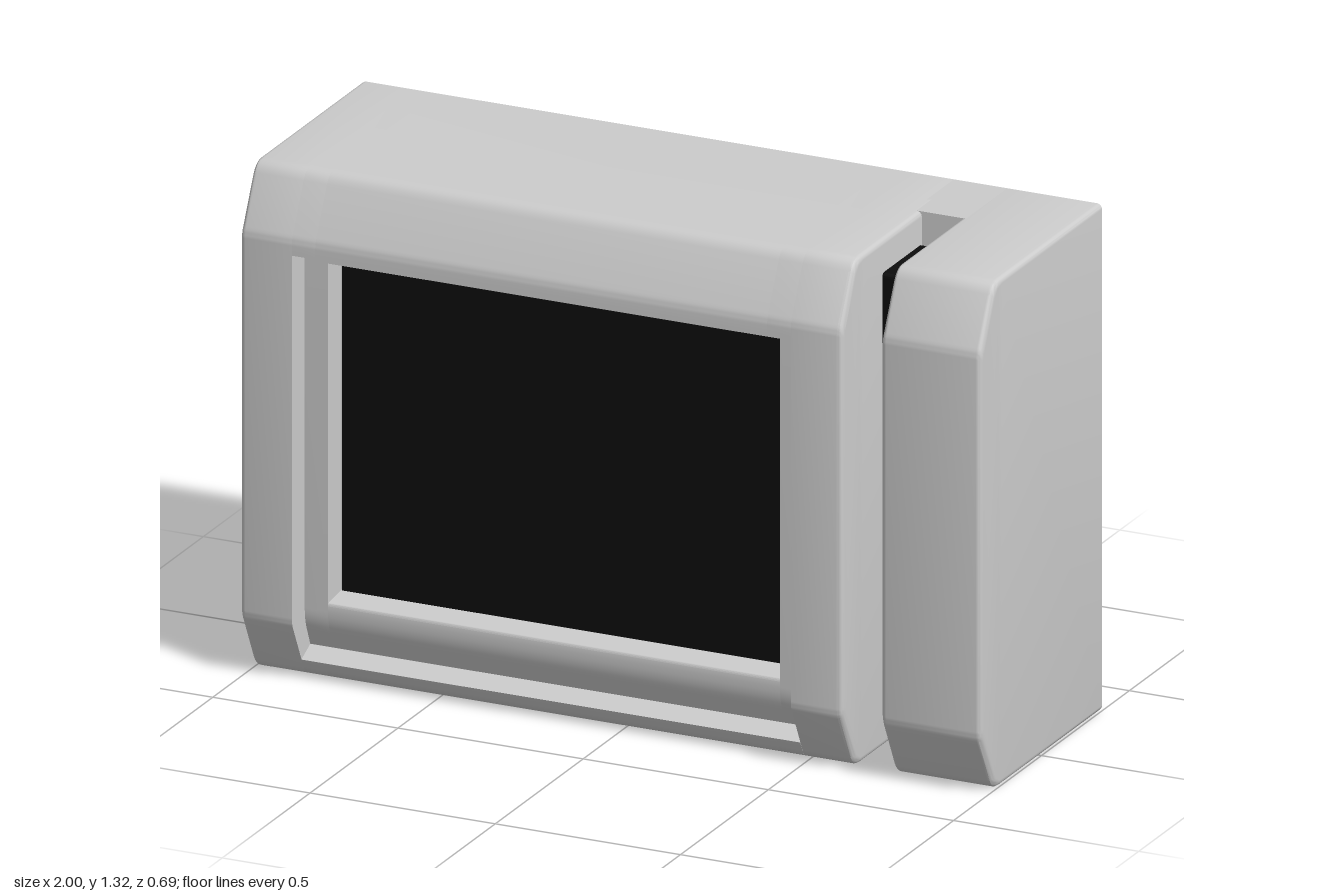
import * as THREE from 'three';
import { toCreasedNormals } from 'three/addons/utils/BufferGeometryUtils.js';

const H = 1.32, BACK = -0.345, FRONT = 0.345;
const grey = new THREE.MeshStandardMaterial({ color: 0xcccccc });
const black = new THREE.MeshStandardMaterial({ color: 0x0d0d0d });

// Turns [z, y, radius] corners into a contour with rounded corners
function contour(corners) {
  const points = [];
  corners.forEach(([z, y, r = 0], i) => {
    const p = new THREE.Vector2(z, y);
    if (!r) return points.push(p);
    const n = corners.length;
    const toward = (c) => new THREE.Vector2(c[0], c[1]).sub(p).normalize().multiplyScalar(r).add(p);
    const a = toward(corners[(i + n - 1) % n]), b = toward(corners[(i + 1) % n]);
    points.push(...new THREE.QuadraticBezierCurve(a, p, b).getPoints(4));
  });
  return points;
}

// Sweeps a side profile along x; each section is [x, inset], the back staying put
function sweep(corners, sections) {
  const profile = contour(corners), n = profile.length, pos = [];
  const rings = sections.map(([x, inset]) => profile.map((p) => [
    x,
    H / 2 + (p.y - H / 2) * (1 - inset / (H / 2)),
    BACK + (p.x - BACK) * (1 - inset / (FRONT - BACK)),
  ]));
  const tri = (a, b, c) => pos.push(...a, ...b, ...c);
  for (let s = 0; s < rings.length - 1; s++) {
    const lo = rings[s], hi = rings[s + 1];
    for (let i = 0; i < n; i++) {
      const j = (i + 1) % n;
      tri(lo[i], hi[i], lo[j]);
      tri(lo[j], hi[i], hi[j]);
    }
  }
  const first = rings[0], last = rings[rings.length - 1];
  for (const [a, b, c] of THREE.ShapeUtils.triangulateShape(profile, [])) {
    tri(first[a], first[b], first[c]);
    tri(last[a], last[c], last[b]);
  }
  const geometry = new THREE.BufferGeometry();
  geometry.setAttribute('position', new THREE.Float32BufferAttribute(pos, 3));
  return toCreasedNormals(geometry, 0.45);
}

// Sections of a rounded end at x, listed outward in direction dir
function roundedEnd(x, dir, r = 0.014) {
  return [0, 1, 2, 3, 4].map((k) => {
    const a = (k / 4) * Math.PI / 2;
    return [x - dir * r * (1 - Math.sin(a)), r * (1 - Math.cos(a))];
  });
}

export function createModel() {
  const model = new THREE.Group();
  const add = (name, geometry, material = grey, parent = model) => {
    const mesh = new THREE.Mesh(geometry, material);
    mesh.name = name;
    parent.add(mesh);
    return mesh;
  };

  // Side profiles: lower edge, optional front recess, then upper edge
  const lower = [[BACK, 0], [0.265, 0, 0.03]];
  const upper = [[FRONT, 1.16, 0.015], [0.265, H, 0.03], [BACK, H]];
  const full = [...lower, [FRONT, 0.16, 0.015], ...upper];
  const recess = (...inner) => [...lower, [0.291, 0.05], [0.24, 0.074], ...inner, [FRONT, 1.12], ...upper];
  const bezel = recess([0.272, 0.148, 0.03], [0.272, 1.12]);
  const opening = recess([0.272, 0.148, 0.03], [0.272, 0.2, 0.008], [0.195, 0.21],
    [0.195, 1.08], [0.272, 1.085], [0.272, 1.12]);

  // Main housing around the recessed screen
  const housing = new THREE.Group();
  housing.name = 'housing';
  model.add(housing);
  add('housingRightSide', sweep(full, [...roundedEnd(-1, -1).reverse(), [-0.86, 0]]), grey, housing);
  add('bezelRightSide', sweep(bezel, [[-0.86, 0], [-0.797, 0]]), grey, housing);
  add('bezelMiddle', sweep(opening, [[-0.797, 0], [0.423, 0]]), grey, housing);
  add('bezelLeftSide', sweep(bezel, [[0.423, 0], [0.487, 0]]), grey, housing);
  add('housingLeftSide', sweep(full, [[0.487, 0], ...roundedEnd(0.625, 1)]), grey, housing);

  // Screen at the bottom of the opening
  const screen = add('screen', new THREE.BoxGeometry(1.212, 0.87, 0.012), black);
  screen.position.set(-0.187, 0.645, 0.194);

  // Side block beyond the swipe slot, and the wall behind the slot
  add('sideBlock', sweep(full, [...roundedEnd(0.73, -1).reverse(), ...roundedEnd(1, 1)]));
  add('slotBack', sweep([[BACK, 0], [-0.11, 0], [-0.11, H], [BACK, H]], [[0.6, 0], [0.75, 0]]));
  // Solid flanks keep the slot's rear joints closed behind the rounded ends
  for (const x of [0.618, 0.737]) {
    add('slotFlank', new THREE.BoxGeometry(0.014, H - 0.04, 0.2)).position.set(x, H / 2, -0.22);
  }

  // Dark guide strips on both slot walls
  const strip = new THREE.Shape(contour([
    [-0.11, 0.09, 0.012], [0.115, 0.09, 0.012], [0.115, 1.235, 0.012], [-0.11, 1.235, 0.012],
  ]));
  const stripGeometry = new THREE.ExtrudeGeometry(strip, { depth: 0.032, bevelEnabled: false });
  stripGeometry.rotateY(-Math.PI / 2);
  for (const [name, x] of [['rightGuideStrip', 0.656], ['leftGuideStrip', 0.731]]) {
    add(name, stripGeometry, black).position.x = x;
  }
  return model;
}
